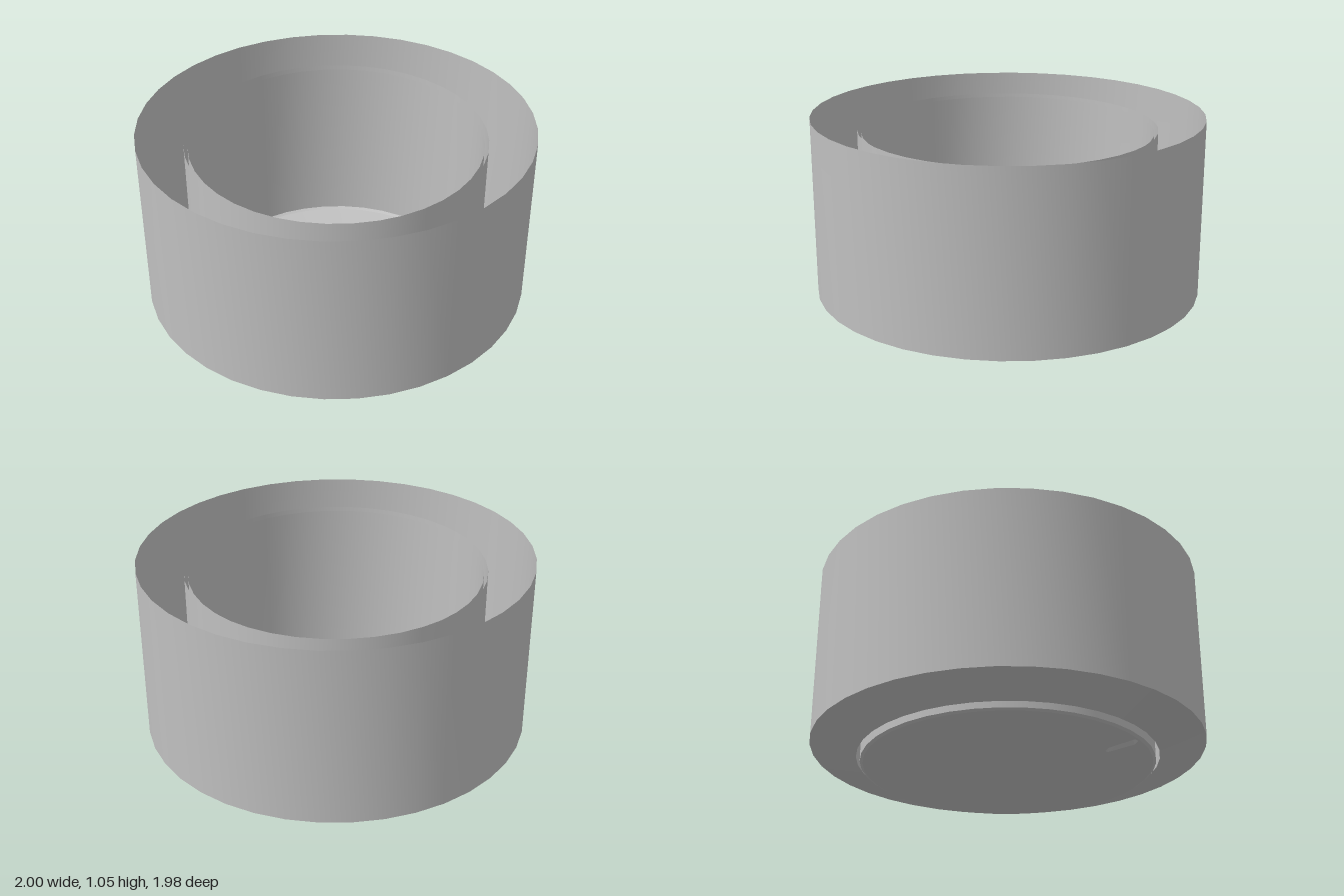
import * as THREE from 'three';
import { toCreasedNormals } from 'three/addons/utils/BufferGeometryUtils.js';

const SIDES = 40;
const DEPTH = 0.991; // the knob is very slightly narrower front to back

export function createModel() {
  const group = new THREE.Group();
  const grey = new THREE.MeshStandardMaterial({ color: 0xc0c0c0, side: THREE.DoubleSide });
  grey.name = 'grey';

  const turned = (points, sides) =>
    new THREE.LatheGeometry(points.map(([r, y]) => new THREE.Vector2(r, y)), sides);

  const add = (name, geometry) => {
    geometry.scale(1, 1, DEPTH);
    const mesh = new THREE.Mesh(toCreasedNormals(geometry, 0.2), grey);
    mesh.name = name;
    group.add(mesh);
  };

  // Thin outer shell: outside wall, sloped underside and inner sleeve
  add('outerShell', turned([[0.765, 0.975], [0.765, 0.07], [1, 0.13], [1, 1.047]], SIDES));

  // Cup wall nested inside the sleeve, with a small bevel at the foot
  add('cupWall', turned([[0.73, 0.038], [0.745, 0.047], [0.745, 0.96]], SIDES));

  // Shallow domed face closing the cup
  const radii = [0, 0.15, 0.3, 0.45, 0.545, 0.575, 0.69, 0.72, 0.73];
  const face = turned(radii.map((r) => [r, 0.038 * (r / 0.73) ** 2]), SIDES * 4);

  // Pointer mark pressed into the face: lift the vertices along its ridge
  const p = face.attributes.position;
  for (let i = 0; i < p.count; i++) {
    const x = p.getX(i);
    if (Math.abs(p.getZ(i)) < 0.001 && x < -0.57 && x > -0.7) p.setY(i, p.getY(i) + 0.025);
    // Follow the straight sides of the cup wall
    const step = (Math.PI * 2) / SIDES;
    const angle = Math.atan2(p.getZ(i), x) + Math.PI * 2 + 1e-6;
    const k = Math.cos(step / 2) / Math.cos((angle % step) - step / 2);
    p.setX(i, x * k);
    p.setZ(i, p.getZ(i) * k);
  }
  add('faceWithPointer', face);

  return group;
}
